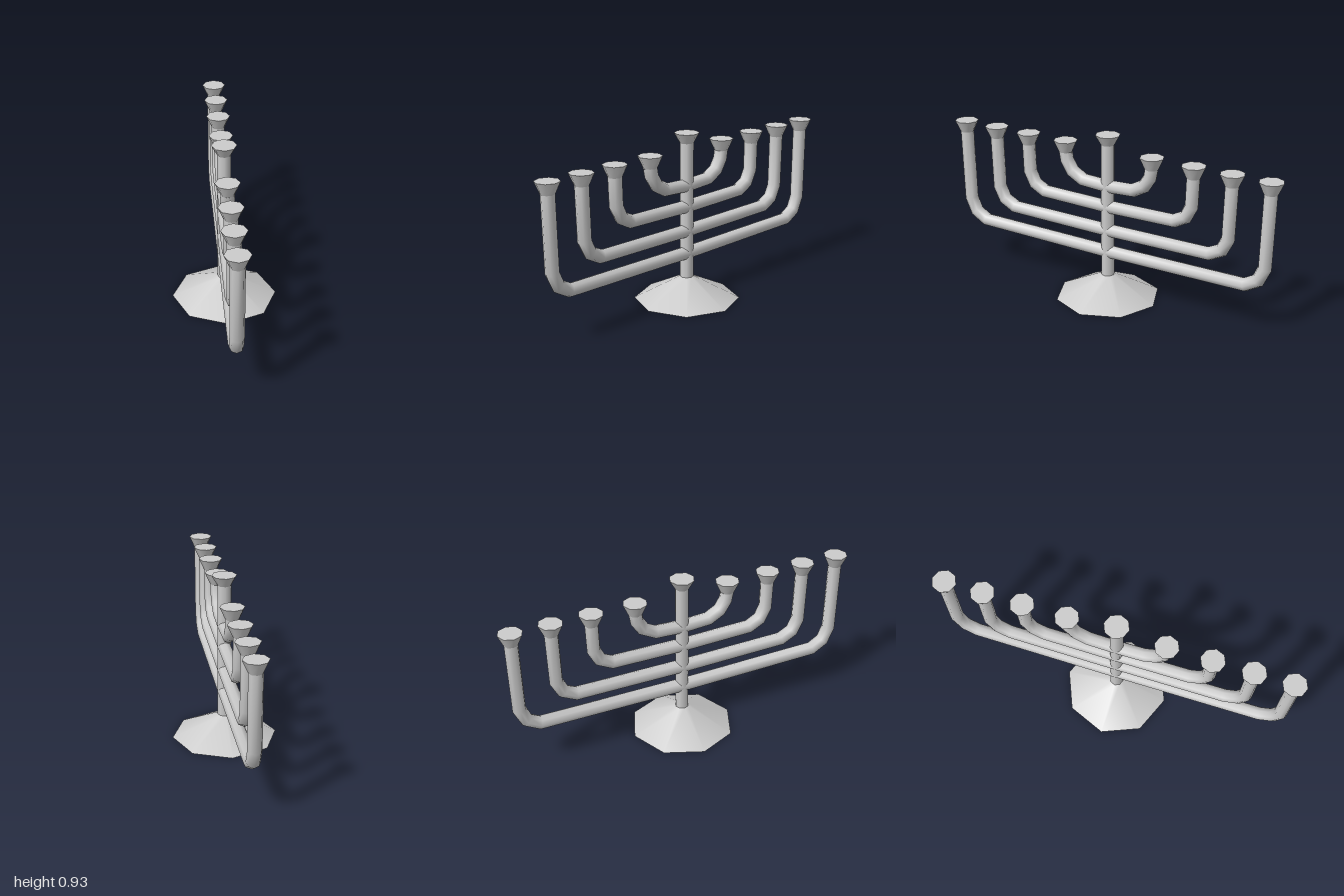
import * as THREE from 'three';

const SIDES = 8;
const R = 0.037;

// Polyline curve: one ring per point, each ring mitred between its neighbours
class BentPath extends THREE.Curve {
  constructor(points) {
    super();
    this.points = points;
  }
  index(u) {
    return Math.round(u * (this.points.length - 1));
  }
  getPointAt(u, target = new THREE.Vector3()) {
    return target.copy(this.points[this.index(u)]);
  }
  getTangentAt(u, target = new THREE.Vector3()) {
    const p = this.points, i = this.index(u);
    const dir = (a, b) => new THREE.Vector3().subVectors(b, a).normalize();
    target.set(0, 0, 0);
    if (i > 0) target.add(dir(p[i - 1], p[i]));
    if (i < p.length - 1) target.add(dir(p[i], p[i + 1]));
    return target.normalize();
  }
}

export function createModel() {
  const group = new THREE.Group();
  const material = new THREE.MeshStandardMaterial({ color: 0xcccccc });

  const add = (name, geometry) => {
    const mesh = new THREE.Mesh(geometry, material);
    mesh.name = name;
    group.add(mesh);
    return mesh;
  };

  // Closed eight-sided frustum between two heights
  const frustum = (name, rBottom, rTop, y0, y1, z = 0) => {
    const mesh = add(name, new THREE.CylinderGeometry(rTop, rBottom, y1 - y0, SIDES));
    mesh.position.set(0, (y0 + y1) / 2, z);
  };

  // Foot, central stem and its raised cup
  frustum('base', 0.288, R, 0, 0.127);
  frustum('stem', R, R, 0.12, 0.88);
  frustum('centreCup', R, 0.068, 0.877, 0.932);

  // Branch centre lines as [z, y], from the stem outwards and up
  const branches = [
    [[0, 0.262], [0.82, 0.27], [0.89, 0.31], [0.925, 0.388], [0.934, 0.795]],
    [[0, 0.388], [0.612, 0.394], [0.682, 0.43], [0.716, 0.50], [0.724, 0.795]],
    [[0, 0.525], [0.404, 0.532], [0.47, 0.567], [0.503, 0.634], [0.508, 0.795]],
    [[0, 0.642], [0.155, 0.65], [0.222, 0.687], [0.257, 0.743], [0.266, 0.795]],
  ];

  // Mirrored pairs of branches, each ending in a cup
  for (const side of [1, -1]) {
    const label = side > 0 ? 'front' : 'back';
    branches.forEach((line, i) => {
      const points = line.map(([z, y]) => new THREE.Vector3(0, y, z * side));
      add(`${label}Branch${i + 1}`,
        new THREE.TubeGeometry(new BentPath(points), points.length - 1, R, SIDES, false));
      frustum(`${label}Cup${i + 1}`, R, 0.066, 0.79, 0.855, line[line.length - 1][0] * side);
    });
  }

  return group;
}
